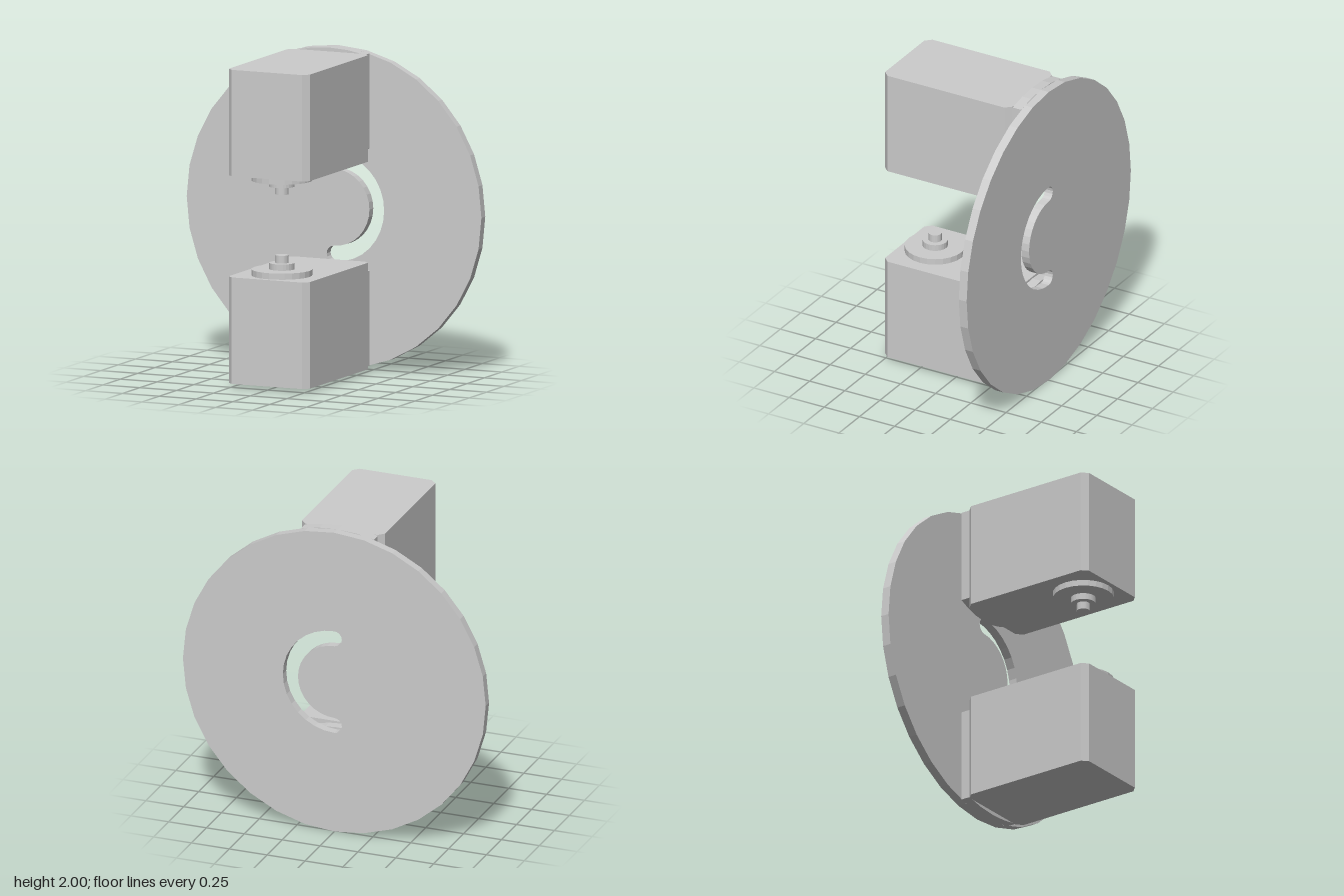
import * as THREE from 'three';

const material = new THREE.MeshStandardMaterial({ color: 0xcccccc, flatShading: true });

function part(name, geometry) {
  const mesh = new THREE.Mesh(geometry, material);
  mesh.name = name;
  return mesh;
}

// Points along a circular arc
function arc(cx, cy, r, from, to, steps) {
  return Array.from({ length: steps + 1 }, (_, i) => {
    const a = from + ((to - from) * i) / steps;
    return new THREE.Vector2(cx + r * Math.cos(a), cy + r * Math.sin(a));
  });
}

function extrude(points, depth, hole) {
  const shape = new THREE.Shape(points);
  if (hole) shape.holes.push(new THREE.Path(hole));
  return new THREE.ExtrudeGeometry(shape, { depth, bevelEnabled: false });
}

// Round plate with a half-ring slot that has rounded ends
function makePlate() {
  const q = Math.PI / 2;
  const slot = [
    ...arc(0, 0, 0.34, -q, q, 16),
    ...arc(0, 0.29, 0.05, q, 3 * q, 8).slice(1),
    ...arc(0, 0, 0.24, q, -q, 16).slice(1),
    ...arc(0, -0.29, 0.05, q, 3 * q, 8).slice(1, -1),
  ];
  const plate = part('plate', extrude(arc(0, 0, 1, 0, Math.PI * 2, 32).slice(0, -1), 0.056, slot));
  plate.position.z = -0.512;
  return plate;
}

// Lower jaw, measured from the plate's centre
function makeJaw() {
  const jaw = new THREE.Group();

  // Chamfered block, outlined from above and extruded upwards
  const w = 0.275, c = 0.037, front = 0.512, back = -0.395;
  const outline = [
    [-w + c, -front], [w - c, -front], [w, -front + c], [w, -back - c],
    [w - c, -back], [-w + c, -back], [-w, -back - c], [-w, -front + c],
  ].map(([x, y]) => new THREE.Vector2(x, y));
  const block = part('block', extrude(outline, 0.662).rotateX(-Math.PI / 2));
  block.position.y = -0.976;
  jaw.add(block);

  // Neck joining block and plate: follows the rim below, gently crowned on top
  const n = 0.24, rim = Math.asin(n), crown = Math.asin(n / 0.55);
  const q = Math.PI / 2;
  const neck = part('neck', extrude([
    ...arc(0, 0, 1, -q - rim, -q + rim, 4),
    ...arc(0, -0.875, 0.55, q - crown, q + crown, 6),
  ], 0.062));
  neck.position.z = -0.457;
  jaw.add(neck);

  // Stepped spindle: flange, collar and pin
  for (const [name, r, bottom, top] of [
    ['flange', 0.188, -0.314, -0.276],
    ['collar', 0.078, -0.276, -0.237],
    ['pin', 0.041, -0.237, -0.189],
  ]) {
    const step = part(name, new THREE.CylinderGeometry(r, r, top - bottom, 24));
    step.position.set(0, (top + bottom) / 2, 0.295);
    jaw.add(step);
  }
  return jaw;
}

export function createModel() {
  const model = new THREE.Group();
  model.name = 'slottedPlateWithJaws';
  const body = new THREE.Group();
  body.name = 'body';
  body.position.y = 1;

  const lowerJaw = makeJaw();
  lowerJaw.name = 'lowerJaw';
  const upperJaw = makeJaw();
  upperJaw.name = 'upperJaw';
  upperJaw.rotation.z = Math.PI;

  body.add(makePlate(), lowerJaw, upperJaw);
  model.add(body);
  return model;
}
